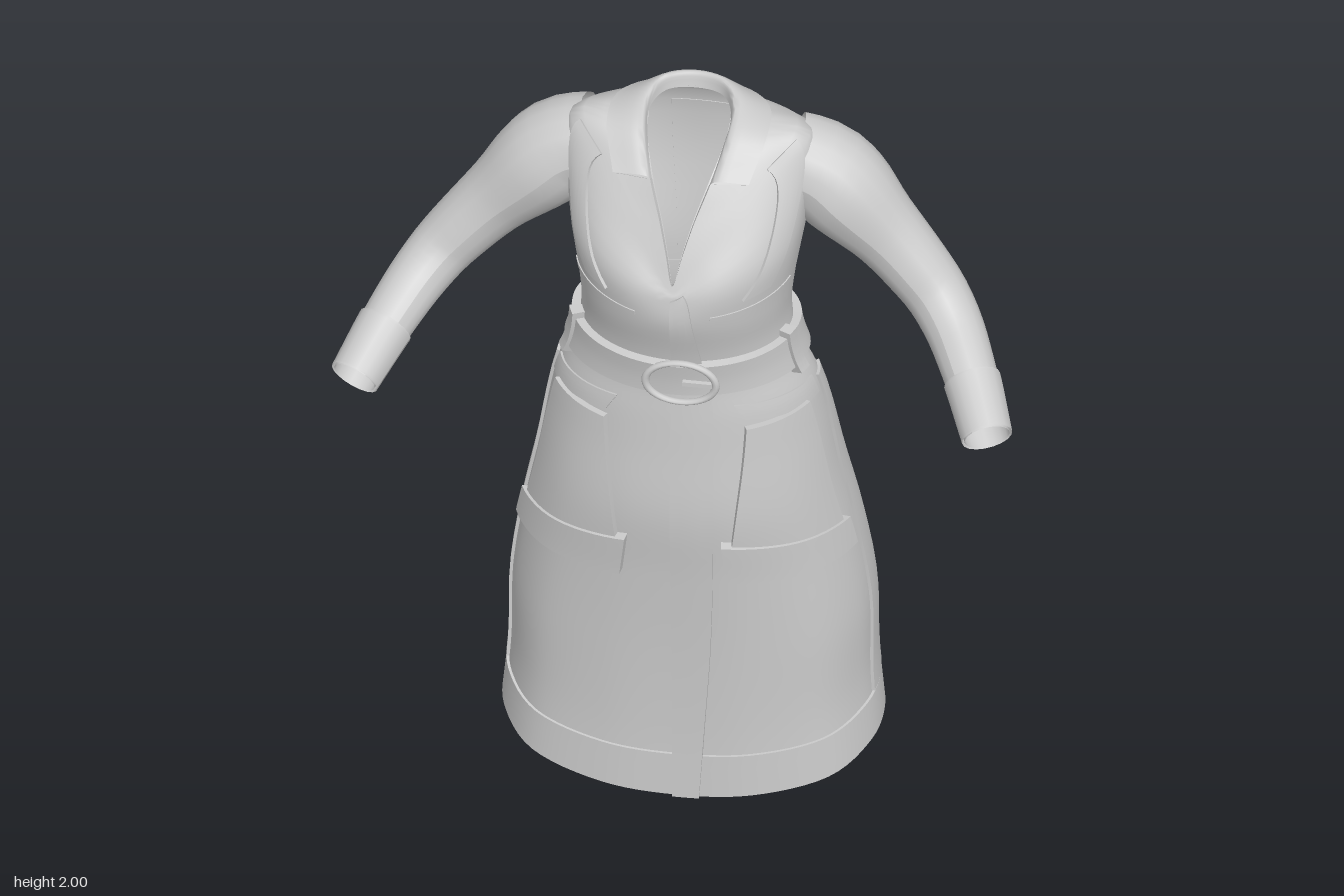
import * as THREE from 'three';
import { toCreasedNormals } from 'three/addons/utils/BufferGeometryUtils.js';

const material = new THREE.MeshStandardMaterial({ color: 0xcccccc, side: THREE.DoubleSide });
const lerp = THREE.MathUtils.lerp;
const smooth = THREE.MathUtils.smoothstep;

// Coat profile: height, half width, front z, back z, z of the widest point, squareness of the front
const profile = [
  [0, 0.465, 0.225, -0.35, -0.1, 2.9], [0.2, 0.45, 0.225, -0.353, -0.1, 2.8],
  [0.45, 0.445, 0.235, -0.343, -0.09, 2.65], [0.7, 0.412, 0.255, -0.318, -0.06, 2.4],
  [0.9, 0.375, 0.275, -0.27, -0.03, 2.25], [1.1, 0.342, 0.265, -0.208, 0, 2.15],
  [1.2, 0.32, 0.26, -0.17, 0.02, 2.1], [1.3, 0.28, 0.255, -0.145, 0.04, 2],
  [1.4, 0.262, 0.27, -0.142, 0.05, 2], [1.52, 0.268, 0.3, -0.152, 0.05, 2],
];

// Half sections of the upper bodice, front centre to back centre
const upper = [
  // Armpit level
  [[0, 1.59, 0.295], [0.11, 1.62, 0.28], [0.21, 1.66, 0.215], [0.275, 1.7, 0.12], [0.3, 1.74, 0.02],
    [0.29, 1.74, -0.07], [0.235, 1.73, -0.14], [0.13, 1.73, -0.172], [0, 1.73, -0.182]],
  // Shoulder line
  [[0, 1.61, 0.288], [0.08, 1.69, 0.245], [0.165, 1.77, 0.178], [0.24, 1.85, 0.09], [0.29, 1.915, 0.015],
    [0.29, 1.915, -0.05], [0.25, 1.88, -0.13], [0.13, 1.89, -0.165], [0, 1.9, -0.168]],
  // Open neckline
  [[0, 1.63, 0.28], [0.017, 1.7, 0.25], [0.04, 1.78, 0.205], [0.07, 1.86, 0.148], [0.095, 1.92, 0.07],
    [0.102, 1.955, 0], [0.095, 1.965, -0.05], [0.06, 1.965, -0.085], [0, 1.965, -0.095]],
];

// Nine points of an oval ring with a hem that rises at the sides
function ring([y, w, f, b, zc, n]) {
  return Array.from({ length: 9 }, (_, i) => {
    const a = (i * Math.PI) / 8, s = Math.sin(a), c = Math.cos(a);
    const front = a < Math.PI / 2, power = front ? n : 1.95;
    const r = (s ** power + Math.abs(c) ** power) ** (-1 / power);
    const rise = front ? 0.09 * s * s : 0.06 + 0.03 * s * s;
    const fade = Math.max(0, 1 - y / 1.2) ** 2;
    return [w * s * r, y + rise * fade, zc + c * r * (front ? f - zc : zc - b)];
  });
}

const sections = [...profile.map(ring), ...upper];
const levels = [...profile.map((r) => r[0]), 1.62, 1.72, 1.82];
const spline = new THREE.CubicInterpolant(levels, sections.flat(2), 27);

// Point on the coat: angle a in degrees (0 front, 90 left), level v
function coatPoint(a, v) {
  const side = a < 0 ? -1 : 1;
  const t = Math.min(Math.abs(a), 360 - Math.abs(a)) / 22.5;
  const flip = Math.abs(a) > 180 ? -side : side;
  const s = spline.evaluate(THREE.MathUtils.clamp(v, 0, 1.82));
  const at = (i) => { // mirrored past both centre lines
    const k = i < 0 ? -i : i > 8 ? 16 - i : i;
    return new THREE.Vector3(k === i ? s[3 * k] : -s[3 * k], s[3 * k + 1], s[3 * k + 2]);
  };
  const i = Math.min(7, Math.floor(t));
  const [p0, p1, p2, p3] = [at(i - 1), at(i), at(i + 1), at(i + 2)];
  const f = t - i;
  const cr = (q0, q1, q2, q3) => q1 + 0.5 * f * (q2 - q0 + f * (2 * q0 - 5 * q1 + 4 * q2 - q3 + f * (3 * (q1 - q2) + q3 - q0)));
  const p = new THREE.Vector3(...['x', 'y', 'z'].map((k) => cr(p0[k], p1[k], p2[k], p3[k])));
  // Soft folds at the back of the skirt
  const fold = 1 + 0.008 * Math.cos(t * 22.5 * 0.28) * smooth(t, 4.4, 5.4) * (1 - smooth(v, 0.8, 1.25));
  return p.set(p.x * fold * flip, p.y, p.z * fold);
}

function offsetPoint(a, v, d) {
  const e = 0.01;
  const da = coatPoint(a + 1, v).sub(coatPoint(a - 1, v));
  const dv = coatPoint(a, v + e).sub(coatPoint(a, v - e));
  return coatPoint(a, v).addScaledVector(da.cross(dv).normalize(), d);
}

// Grid surface from a point function
function gridMesh(name, nu, nv, fn, crease = 0.7) {
  const pos = [], index = [];
  for (let j = 0; j <= nv; j++) for (let i = 0; i <= nu; i++) pos.push(...fn(i, j).toArray());
  for (let j = 0; j < nv; j++) for (let i = 0; i < nu; i++) {
    const a = j * (nu + 1) + i, b = a + 1, d = a + nu + 1, c = d + 1;
    index.push(a, b, c, a, c, d);
  }
  const geo = new THREE.BufferGeometry();
  geo.setAttribute('position', new THREE.Float32BufferAttribute(pos, 3));
  geo.setIndex(index);
  const mesh = new THREE.Mesh(toCreasedNormals(geo, crease), material);
  mesh.name = name;
  return mesh;
}

// Raised cloth panel on the coat; corners [angle, level]: bottom left, bottom right, top right, top left
function panel(name, [bl, br, tr, tl], height, nu = 10, nv = 12) {
  const clamp = (k, n) => THREE.MathUtils.clamp((k - 1) / n, 0, 1);
  return gridMesh(name, nu + 2, nv + 2, (i, j) => {
    const u = clamp(i, nu), w = clamp(j, nv);
    const edge = i === 0 || j === 0 || i === nu + 2 || j === nv + 2;
    const mix = (k) => lerp(lerp(bl[k], br[k], u), lerp(tl[k], tr[k], u), w);
    return offsetPoint(mix(0), mix(1), edge ? -0.002 : height);
  });
}
const mirrorCorners = ([bl, br, tr, tl]) => [br, bl, tl, tr].map(([a, v]) => [-a, v]);
const band = (name, v0, v1, h) => panel(name, [[-180, v0], [180, v0], [180, v1], [-180, v1]], h, 96, 3);

// Tapered tube along part of a curve
function sleeveTube(name, curve, radii, u0, u1, extra) {
  const rad = new THREE.CubicInterpolant(radii.map((_, i) => i / (radii.length - 1)), radii, 1);
  const path = new THREE.CatmullRomCurve3(Array.from({ length: 12 }, (_, i) => curve.getPoint(lerp(u0, u1, i / 11))));
  const n = 28, sides = 18, geo = new THREE.TubeGeometry(path, n, 1, sides);
  const pos = geo.attributes.position, p = new THREE.Vector3();
  for (let k = 0; k < pos.count; k++) {
    const t = Math.floor(k / (sides + 1)) / n, c = path.getPointAt(t);
    p.fromBufferAttribute(pos, k).sub(c).multiplyScalar(rad.evaluate(lerp(u0, u1, t))[0] + extra).add(c);
    pos.setXYZ(k, p.x, p.y, p.z);
  }
  geo.computeVertexNormals();
  const mesh = new THREE.Mesh(geo, material);
  mesh.name = name;
  return mesh;
}

export function createModel() {
  const coat = new THREE.Group();
  coat.name = 'beltedCoat';
  coat.add(gridMesh('coatBody', 128, 70, (i, j) => coatPoint(-180 + (i * 360) / 128, (j / 70) * 1.82), 1.2));

  // Hem, belt and front closure
  coat.add(band('hemBand', 0, 0.125, 0.007));
  coat.add(band('belt', 1.285, 1.385, 0.022));
  coat.add(panel('skirtPlacket', [[-1, 0], [7, 0], [18, 1.285], [-1, 1.285]], 0.016, 4, 30));
  coat.add(panel('bodicePlacket', [[-1, 1.385], [15, 1.385], [6, 1.66], [-1, 1.62]], 0.01, 4, 10));
  coat.add(panel('backPanel', [[-192, 1.385], [-168, 1.385], [-168, 1.69], [-192, 1.69]], 0.004, 8, 10));

  // Panels in mirrored pairs
  const pairs = [
    ['pocket', [[19, 0.76], [68, 0.76], [67, 1.18], [31, 1.17]], 0.018],
    ['pocketBand', [[18, 0.705], [71, 0.685], [71, 0.775], [17, 0.825]], 0.026],
    ['sideSeamPanel', [[74, 0.13], [101, 0.13], [103, 1.2], [86, 1.2]], 0.008],
    ['hipYoke', [[32, 1.185], [80, 1.165], [80, 1.22], [28, 1.235]], 0.006],
    ['beltLoop', [[68, 1.265], [76, 1.265], [76, 1.405], [68, 1.405]], 0.032],
    ['shoulderPanel', [[36, 1.57], [52, 1.57], [88, 1.735], [70, 1.75]], 0.008],
    ['chestSeam', [[20, 1.535], [75, 1.535], [75, 1.545], [20, 1.545]], 0.003],
    ['lapel', [[0, 1.79], [62, 1.765], [66, 1.818], [0, 1.818]], 0.014],
    ['backSeamStrip', [[146, 1.39], [151, 1.39], [151, 1.7], [146, 1.7]], 0.004],
    ['outerPleat', [[118, 0.13], [125, 0.13], [128, 1.25], [122, 1.25]], 0.006],
    ['middlePleat', [[139, 0.13], [147, 0.13], [148, 1.25], [142, 1.25]], 0.006],
    ['innerPleat', [[163, 0.13], [171, 0.13], [170, 1.25], [164, 1.25]], 0.006],
  ];
  for (const [name, corners, h] of pairs) {
    coat.add(panel(name + 'Left', corners, h, 14, 16));
    coat.add(panel(name + 'Right', mirrorCorners(corners), h, 14, 16));
  }

  // Turned-down collar: neck edge, fold, outer edge, each front to back
  const collarRows = [
    [[0.07, 1.85, 0.155], [0.095, 1.92, 0.07], [0.102, 1.955, 0], [0.07, 1.96, -0.075], [0, 1.96, -0.095]],
    [[0.085, 1.87, 0.162], [0.108, 1.95, 0.075], [0.11, 1.985, -0.02], [0.075, 1.998, -0.085], [0, 2, -0.11]],
    [[0.17, 1.865, 0.152], [0.2, 1.945, 0.055], [0.19, 1.95, -0.06], [0.11, 1.93, -0.155], [0, 1.915, -0.185]],
  ].map((row) => new THREE.CatmullRomCurve3([...row, ...row.slice(0, 4).reverse().map(([x, y, z]) => [-x, y, z])]
    .map((p) => new THREE.Vector3(...p))));
  coat.add(gridMesh('collar', 40, 10, (i, j) => {
    const cross = new THREE.CatmullRomCurve3(collarRows.map((c) => c.getPoint(i / 40)));
    return cross.getPoint(1 - j / 10);
  }, 1.2));

  // Sleeves with cuffs
  const radii = [0.115, 0.124, 0.096, 0.083, 0.074, 0.066, 0.057];
  for (const [side, s] of [['Left', 1], ['Right', -1]]) {
    const curve = new THREE.CatmullRomCurve3([
      [0.245, 1.81, -0.05], [0.318, 1.782, -0.052], [0.415, 1.69, -0.04], [0.525, 1.575, -0.022],
      [0.635, 1.452, 0.025], [0.72, 1.36, 0.16], [0.79, 1.275, 0.315],
    ].map(([x, y, z]) => new THREE.Vector3(s * x, y, z)));
    coat.add(sleeveTube('sleeve' + side, curve, radii, 0, 1, 0));
    coat.add(sleeveTube('cuff' + side, curve, radii, 0.86, 1, 0.007));
  }

  // Oval belt buckle with prong
  const buckle = new THREE.Group();
  buckle.name = 'beltBuckle';
  const frame = new THREE.Mesh(new THREE.TorusGeometry(0.088, 0.01, 10, 36), material);
  frame.name = 'buckleFrame';
  frame.scale.y = 0.68;
  const prong = new THREE.Mesh(new THREE.BoxGeometry(0.09, 0.012, 0.012), material);
  prong.name = 'buckleProng';
  prong.position.x = 0.05;
  buckle.add(frame, prong);
  buckle.position.set(0.02, 1.332, 0.286);
  coat.add(buckle);
  return coat;
}
